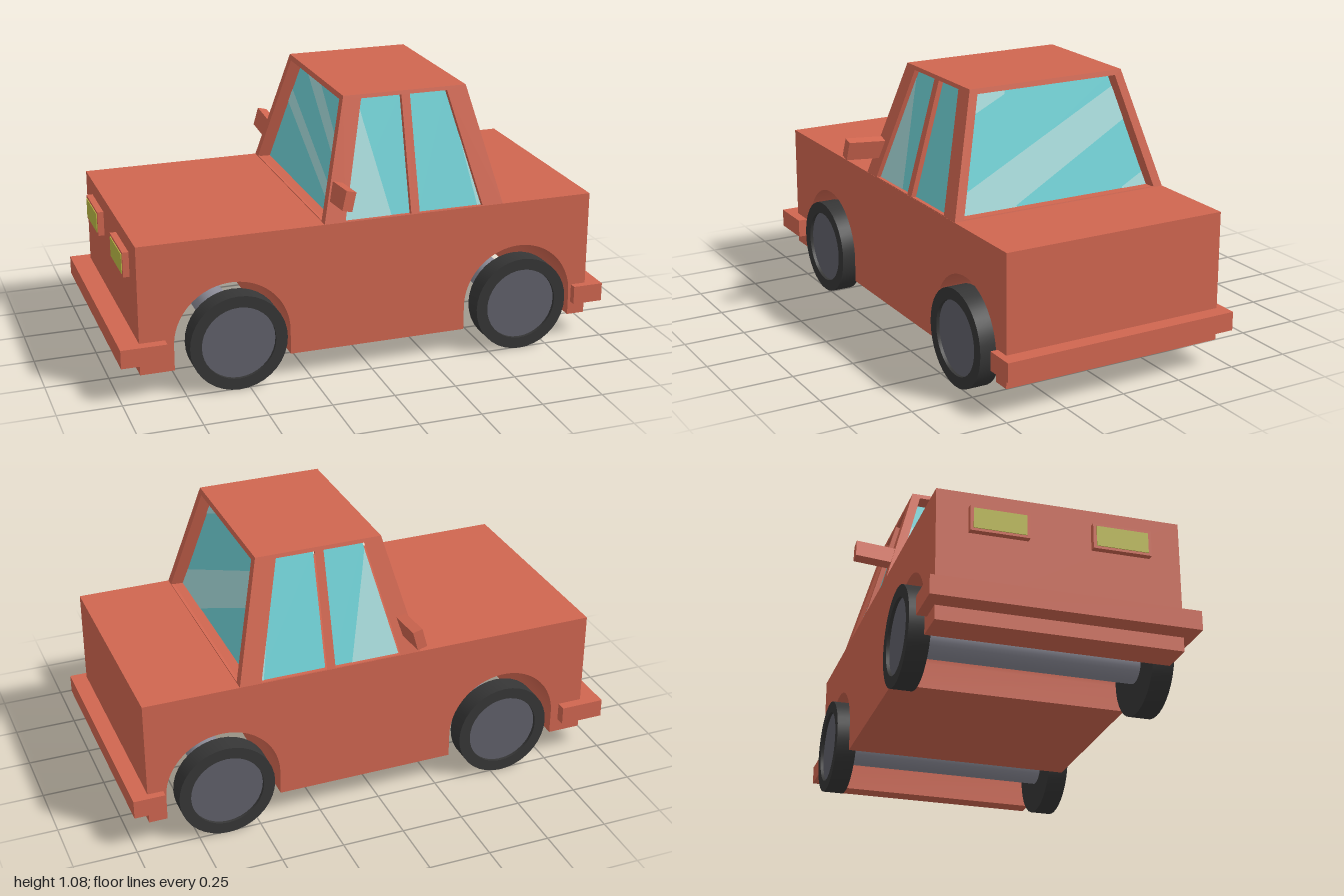
import * as THREE from 'three';
import { toCreasedNormals } from 'three/addons/utils/BufferGeometryUtils.js';

const mat = (name, color) => {
  const m = new THREE.MeshStandardMaterial({ color });
  m.name = name;
  return m;
};

export function createModel() {
  const paint = mat('red paint', 0xd06650);
  const glass = mat('window glass', 0x6fd0d4);
  const shine = mat('glass streak', 0xa6dada);
  const rubber = mat('tyre rubber', 0x363636);
  const hubGrey = mat('hub grey', 0x60606a);
  const axleGrey = mat('axle grey', 0x8c8c98);
  const lampYellow = mat('lamp yellow', 0xbcba46);

  const car = new THREE.Group();
  car.name = 'car';
  const add = (parent, name, geometry, material, x = 0, y = 0, z = 0) => {
    const mesh = new THREE.Mesh(geometry, material);
    mesh.name = name;
    mesh.position.set(x, y, z);
    parent.add(mesh);
    return mesh;
  };
  // Box given by its lower and upper corners
  const block = (name, material, a, b) =>
    add(car, name, new THREE.BoxGeometry(b[0] - a[0], b[1] - a[1], b[2] - a[2]), material,
      (a[0] + b[0]) / 2, (a[1] + b[1]) / 2, (a[2] + b[2]) / 2);

  // Body: side outline with wheel arches cut right through
  const side = new THREE.Shape();
  side.moveTo(-0.92, 0.1);
  for (const x of [-0.555, 0.633]) {
    side.lineTo(x - 0.231, 0.1);
    side.lineTo(x - 0.231, 0.2);
    side.absarc(x, 0.2, 0.231, Math.PI, 0, true);
    side.lineTo(x + 0.231, 0.1);
  }
  side.lineTo(0.937, 0.1);
  side.lineTo(0.937, 0.617);
  side.lineTo(-0.92, 0.617);
  const bodyGeo = new THREE.ExtrudeGeometry(side, { depth: 0.93, bevelEnabled: false, curveSegments: 24 });
  add(car, 'body', toCreasedNormals(bodyGeo, 0.5), paint, 0, 0, -0.465);

  // Cabin walls: leaning frames with window openings and recessed panes.
  // Points are [across, height]; the wall leans in by `run` over its height.
  const baseY = 0.615, topY = 1.08;
  function wall(name, yaw, x, z, run, recess, outline, windows, streaks, flip = 1) {
    const rise = topY - baseY;
    const k = Math.hypot(run, rise) / rise;
    const points = (list) => list.map(([h, y]) => new THREE.Vector2(h * flip, (y - baseY) * k));
    const g = new THREE.Group();
    g.name = name;
    g.position.set(x, baseY, z);
    g.rotation.set(-Math.atan2(run, rise), yaw, 0, 'YXZ');
    const frame = new THREE.Shape(points(outline));
    const depth = recess + 0.01;
    for (const w of windows) {
      frame.holes.push(new THREE.Path(points(w)));
      add(g, 'windowPane', new THREE.ShapeGeometry(new THREE.Shape(points(w))), glass, 0, 0, -recess);
    }
    for (const s of streaks) {
      add(g, 'windowStreak', new THREE.ShapeGeometry(new THREE.Shape(points(s))), shine, 0, 0, -recess + 0.002);
    }
    add(g, 'windowFrame', new THREE.ExtrudeGeometry(frame, { depth, bevelEnabled: false }), paint, 0, 0, -depth);
    car.add(g);
  }

  const sideOutline = [[-0.185, baseY], [0.557, baseY], [0.44, topY], [-0.066, topY]];
  const sideWindows = [
    [[-0.1, 0.62], [0.17, 0.62], [0.17, 1.065], [0.005, 1.065]],
    [[0.205, 0.62], [0.47, 0.62], [0.36, 1.065], [0.205, 1.065]],
  ];
  const sideStreaks = [
    [[-0.1, 0.62], [0.095, 0.62], [0.012, 0.98], [0, 1.04]],
    [[0.455, 0.62], [0.47, 0.62], [0.401, 0.9]],
  ];
  wall('leftCabinWall', 0, 0, 0.465, 0.13, 0.02, sideOutline, sideWindows, sideStreaks);
  wall('rightCabinWall', Math.PI, 0, -0.465, 0.13, 0.02, sideOutline, sideWindows, sideStreaks, -1);

  const endOutline = [[-0.465, baseY], [0.465, baseY], [0.335, topY], [-0.335, topY]];
  const endWindow = [[-0.425, 0.62], [0.425, 0.62], [0.305, 1.06], [-0.305, 1.06]];
  wall('rearCabinWall', Math.PI / 2, 0.557, 0, 0.117, 0.05, endOutline, [endWindow], [
    [[-0.425, 0.62], [-0.17, 0.62], [-0.17, 0.635], [0.352, 0.89], [0.316, 1.02], [-0.4, 0.7]],
    [[-0.328, 0.975], [-0.165, 1.045], [-0.16, 1.06], [-0.305, 1.06]],
    [[0.31, 0.62], [0.425, 0.62], [0.408, 0.68], [0.31, 0.635]],
  ]);
  wall('windscreenWall', -Math.PI / 2, -0.185, 0, 0.119, 0.05, endOutline, [endWindow], [
    [[-0.353, 0.884], [0.421, 0.633], [0.407, 0.686], [-0.337, 0.94]],
    [[-0.25, 1.06], [0.383, 0.774], [0.365, 0.84], [-0.08, 1.06]],
  ]);
  block('roof', paint, [-0.066, 1.065, -0.335], [0.44, topY, 0.335]);

  // Bumpers
  block('frontBumper', paint, [-1, 0.155, -0.505], [-0.82, 0.23, 0.505]);
  block('rearBumper', paint, [0.875, 0.155, -0.495], [1, 0.23, 0.495]);

  // Headlights and door mirrors
  for (const s of [-1, 1]) {
    const z = s * 0.2325;
    block('headlightHousing', paint, [-0.945, 0.455, z - 0.1125], [-0.9, 0.555, z + 0.1125]);
    block('headlightLens', lampYellow, [-0.948, 0.465, z - 0.1], [-0.942, 0.545, z + 0.1]);
    const mirror = add(car, 'doorMirror', new THREE.BoxGeometry(0.04, 0.077, 0.165), paint, -0.127, 0.737, s * 0.5);
    mirror.rotation.set(-s * 0.08, 0, -0.25);
  }

  // Wheels: tyre profile turned about its axle, closed on the inner face
  const profile = [[0, 0], [0.193, 0], [0.193, 0.083], [0.147, 0.083], [0.147, 0.06]]
    .map(([r, h]) => new THREE.Vector2(r, h));
  const tyreGeo = toCreasedNormals(new THREE.LatheGeometry(profile, 36), 0.6);
  const hubGeo = new THREE.CylinderGeometry(0.147, 0.147, 0.02, 36);
  const axleGeo = new THREE.CylinderGeometry(0.068, 0.068, 0.86, 28);
  for (const x of [-0.542, 0.632]) {
    for (const s of [-1, 1]) {
      const wheel = new THREE.Group();
      wheel.name = x < 0 ? 'frontWheel' : 'rearWheel';
      wheel.position.set(x, 0.195, s * 0.425);
      wheel.rotation.x = s * Math.PI / 2;
      add(wheel, 'tyre', tyreGeo, rubber);
      add(wheel, 'hub', hubGeo, hubGrey, 0, 0.06, 0);
      car.add(wheel);
    }
    add(car, 'axle', axleGeo, axleGrey, x, 0.195, 0).rotation.x = Math.PI / 2;
  }

  return car;
}
